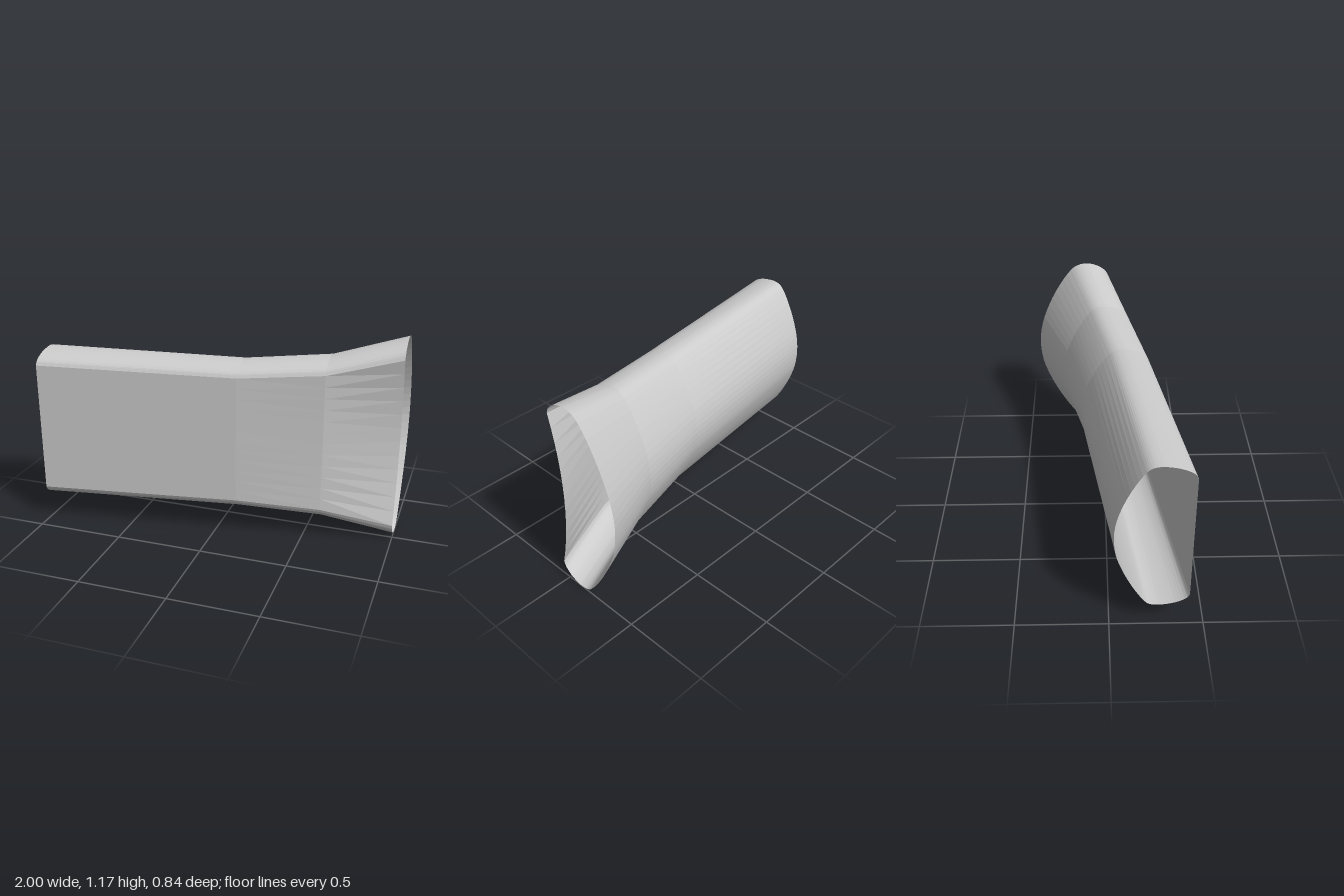
import * as THREE from 'three';

const MID_Y = 0.588;
const CORNER = 0.84; // where the front panel meets the rounded edge

// Stations along the duct: front, crest and back depth, half height, front dish
const stations = [
  { x: -1.0, front: 0.419, crest: 0.24, back: 0.023, half: 0.449, dish: 0 },
  { x: 0.13, front: 0.253, crest: 0.1, back: -0.142, half: 0.438, dish: 0 },
  { x: 0.6, front: 0.154, crest: 0.0, back: -0.254, half: 0.477, dish: 0.008 },
  { x: 1.0, front: 0.041, crest: -0.105, back: -0.419, half: 0.587, dish: 0.066 },
];

// Unit D-shaped outline: d = +1 front, 0 crest, -1 back; h = -1..1 in height
function outline() {
  const edge = [[1, CORNER], [0.93, 0.89], [0.69, 0.95], [0.36, 0.988], [0, 1]];
  const backArc = [
    [-0.17, 0.98], [-0.3, 0.93], [-0.55, 0.745], [-0.78, 0.51], [-0.94, 0.27], [-1, 0.04],
    [-0.955, -0.21], [-0.83, -0.41], [-0.67, -0.595], [-0.46, -0.79], [-0.27, -0.93], [-0.16, -0.98],
  ];
  const lowerEdge = edge.map(([d, h]) => [d, -h]).reverse();
  const pts = [...edge, ...backArc, ...lowerEdge].map(([d, h]) => new THREE.Vector3(d, h, 0));
  const ring = new THREE.CatmullRomCurve3(pts).getPoints(63);
  // Front panel, from the bottom corner back up to the top one
  for (let i = 1; i <= 12; i++) {
    ring.push(new THREE.Vector3(1, THREE.MathUtils.lerp(-CORNER, CORNER, i / 12), 0));
  }
  return ring;
}

function loft() {
  const ring = outline();
  const n = ring.length;
  const positions = [];
  const index = [];
  for (const s of stations) {
    for (const { x: d, y: h } of ring) {
      let z = d > 0 ? s.crest + d * (s.front - s.crest) : s.crest + d * (s.crest - s.back);
      if (d > 0.99) z -= s.dish * Math.max(0, 1 - (h / CORNER) ** 2);
      positions.push(s.x, MID_Y + h * s.half, z);
    }
  }
  for (let k = 0; k < stations.length - 1; k++) {
    for (let i = 0; i < n - 1; i++) {
      const a = k * n + i, b = a + n;
      index.push(a, b, a + 1, b, b + 1, a + 1);
    }
  }
  const geometry = new THREE.BufferGeometry();
  geometry.setAttribute('position', new THREE.Float32BufferAttribute(positions, 3));
  geometry.setIndex(index);
  geometry.computeVertexNormals();
  return geometry;
}

export function createModel() {
  const group = new THREE.Group();
  group.name = 'flaredDuct';
  // Thin open shell
  const shell = new THREE.Mesh(
    loft(),
    new THREE.MeshStandardMaterial({ color: 0xcccccc, flatShading: true, side: THREE.DoubleSide }),
  );
  shell.name = 'ductShell';
  group.add(shell);
  return group;
}
